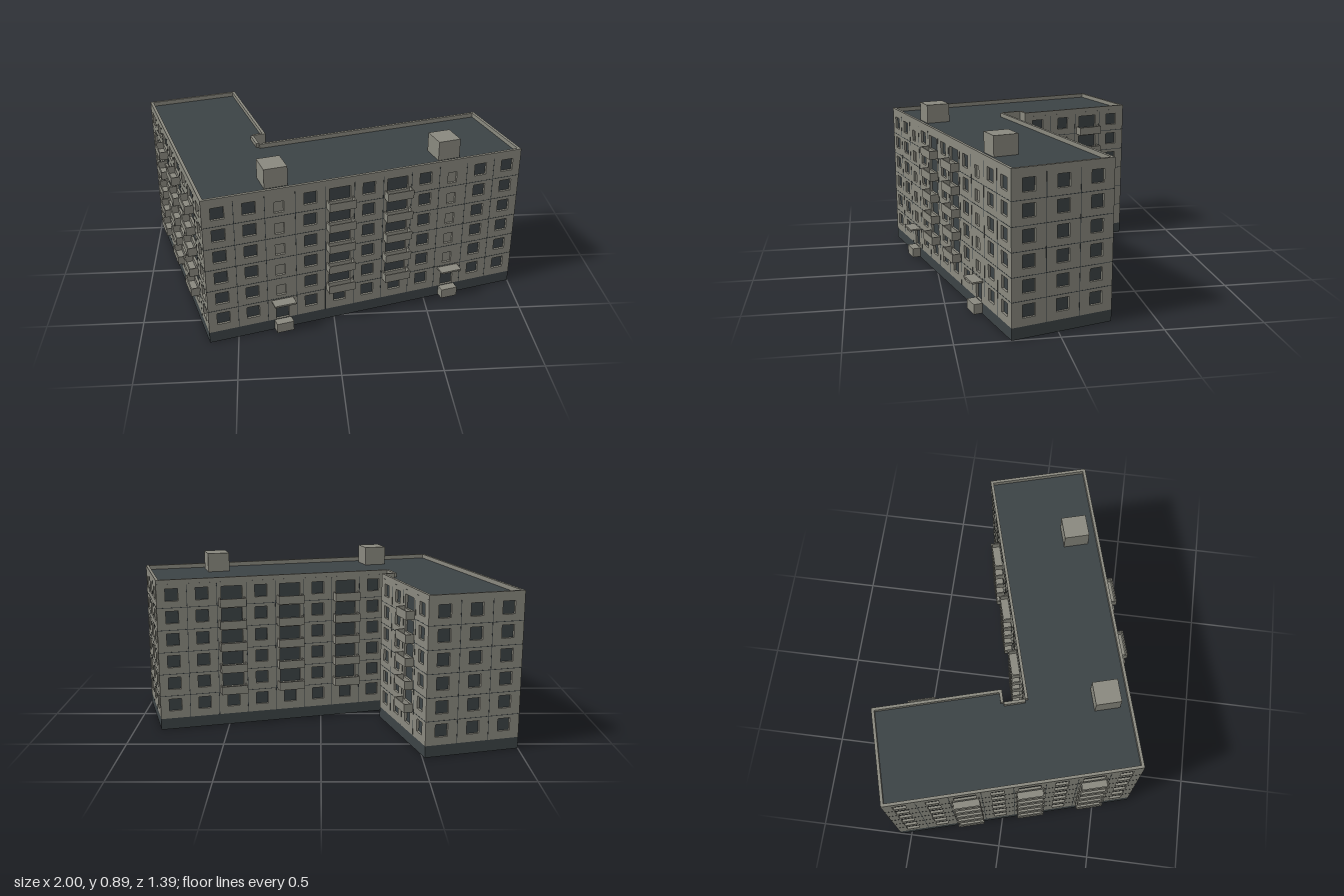
import * as THREE from 'three';

const mat = (name, color, extra = {}) => {
  const m = new THREE.MeshStandardMaterial({ color, ...extra });
  m.name = name;
  return m;
};

export function createModel() {
  const concrete = mat('concrete', 0x8a897f);
  const dark = mat('dark slate', 0x3c4345, { side: THREE.DoubleSide });

  const FLOORS = 6, STOREY = 0.12, BASE = 0.06, TOP = 0.815, ROOF = 0.792, THICK = 0.015;
  const LENGTH = 1.71, DEPTH = 0.53, WING = 1.305, WING_W = 0.506;

  // L-shaped footprint, walked with the outside on the right hand; y is the distance to the back
  const plan = [
    [0, 0, 'WWSWBWBWSWW'],
    [LENGTH, 0, 'WWW'],
    [LENGTH, DEPTH, 'WWBWBWBW'],
    [0.438, DEPTH, ''],
    [0.438, 0.64, ''],
    [WING_W, 0.64, 'WWBW'],
    [WING_W, WING, 'WWW'],
    [0, WING, 'WWBWBWBW'],
  ];

  const box = (parent, name, material, w, h, d, x, y, z) => {
    const m = new THREE.Mesh(new THREE.BoxGeometry(w, h, d), material);
    m.name = name;
    m.position.set(x, y, z);
    parent.add(m);
    return m;
  };

  // Open-topped balcony: floor, front and two sides
  const balcony = (parent, x, y) => {
    const g = new THREE.Group();
    g.name = 'balcony';
    g.position.set(x, y, 0);
    const w = 0.142, d = 0.046, h = 0.045, t = 0.006;
    box(g, 'balconyFloor', concrete, w, t, d, 0, t / 2, d / 2);
    box(g, 'balconyFront', concrete, w, h, t, 0, h / 2, d - t / 2);
    for (const s of [-1, 1]) box(g, 'balconySide', concrete, t, h, d, s * (w - t) / 2, h / 2, d / 2);
    parent.add(g);
  };

  // One facade: pierced wall, recessed panes, seams, balconies and entrances
  const facade = (len, bays) => {
    const g = new THREE.Group();
    g.name = 'facade';
    const shape = new THREE.Shape();
    shape.moveTo(0, BASE).lineTo(len, BASE).lineTo(len, TOP).lineTo(0, TOP).closePath();

    const opening = (name, material, x, y, w, h) => {
      const p = new THREE.Path();
      p.moveTo(x - w / 2, y - h / 2).lineTo(x - w / 2, y + h / 2)
        .lineTo(x + w / 2, y + h / 2).lineTo(x + w / 2, y - h / 2).closePath();
      shape.holes.push(p);
      const pane = new THREE.Mesh(new THREE.PlaneGeometry(w, h), material);
      pane.name = name;
      pane.position.set(x, y, -0.012);
      g.add(pane);
    };

    const bw = len / (bays.length || 1);
    [...bays].forEach((kind, i) => {
      const x = (i + 0.5) * bw;
      for (let f = 0; f < FLOORS; f++) {
        const y = 0.134 + f * STOREY;
        if (kind === 'S') {
          if (f > 0) opening('stairPanel', concrete, x - 0.005, y - 0.02, 0.05, 0.06);
        } else if (kind === 'B' && f > 0) {
          opening('balconyWindow', dark, x, y - 0.003, 0.114, 0.072);
          balcony(g, x, y - 0.074);
        } else {
          opening('window', dark, x, y, 0.067, 0.066);
        }
      }
      if (kind === 'S') {
        opening('entranceDoor', dark, x, 0.1135, 0.07, 0.103);
        box(g, 'entranceCanopy', concrete, 0.115, 0.009, 0.058, x, 0.174, 0.029);
        box(g, 'entranceStep', concrete, 0.09, 0.052, 0.046, x, 0.032, 0.023);
      }
      if (i > 0) box(g, 'verticalSeam', dark, 0.003, 0.785 - BASE, 0.0016, i * bw, (0.785 + BASE) / 2, 0);
    });
    for (let f = 1; f < FLOORS; f++) {
      box(g, 'floorSeam', dark, len, 0.003, 0.0016, len / 2, 0.065 + f * STOREY, 0);
    }

    const wall = new THREE.Mesh(
      new THREE.ExtrudeGeometry(shape, { depth: THICK, bevelEnabled: false }), concrete);
    wall.name = 'wall';
    wall.position.z = -THICK;
    g.add(wall);
    box(g, 'plinth', dark, len, BASE, THICK, len / 2, BASE / 2, -THICK / 2);
    return g;
  };

  const building = new THREE.Group();
  building.name = 'building';
  plan.forEach(([x, back, bays], i) => {
    const [nx, nBack] = plan[(i + 1) % plan.length];
    const g = facade(Math.hypot(nx - x, nBack - back), bays);
    g.position.set(x, 0, -back);
    g.rotation.y = Math.atan2(nBack - back, nx - x);
    building.add(g);
  });

  // Flat roof behind the parapet
  const roofShape = new THREE.Shape(plan.map(([x, back]) => new THREE.Vector2(x, back)));
  const roof = new THREE.Mesh(new THREE.ShapeGeometry(roofShape), dark);
  roof.name = 'roof';
  roof.rotation.x = -Math.PI / 2;
  roof.position.y = ROOF;
  // Keep the roof edge inside the wall thickness
  roof.scale.set(0.999, 0.999, 1);
  roof.position.x = 0.001;
  roof.position.z = -0.001;
  building.add(roof);

  // Stairwell heads above the two entrances
  for (const bay of [2.5, 8.5]) {
    box(building, 'roofHut', concrete, 0.12, 0.895 - ROOF, 0.13, bay * LENGTH / 11, (0.895 + ROOF) / 2, -0.126);
  }

  building.rotation.y = 0.275;
  building.position.set(-0.645, 0, 0.697);
  const model = new THREE.Group();
  model.name = 'apartmentBlock';
  model.add(building);
  return model;
}
